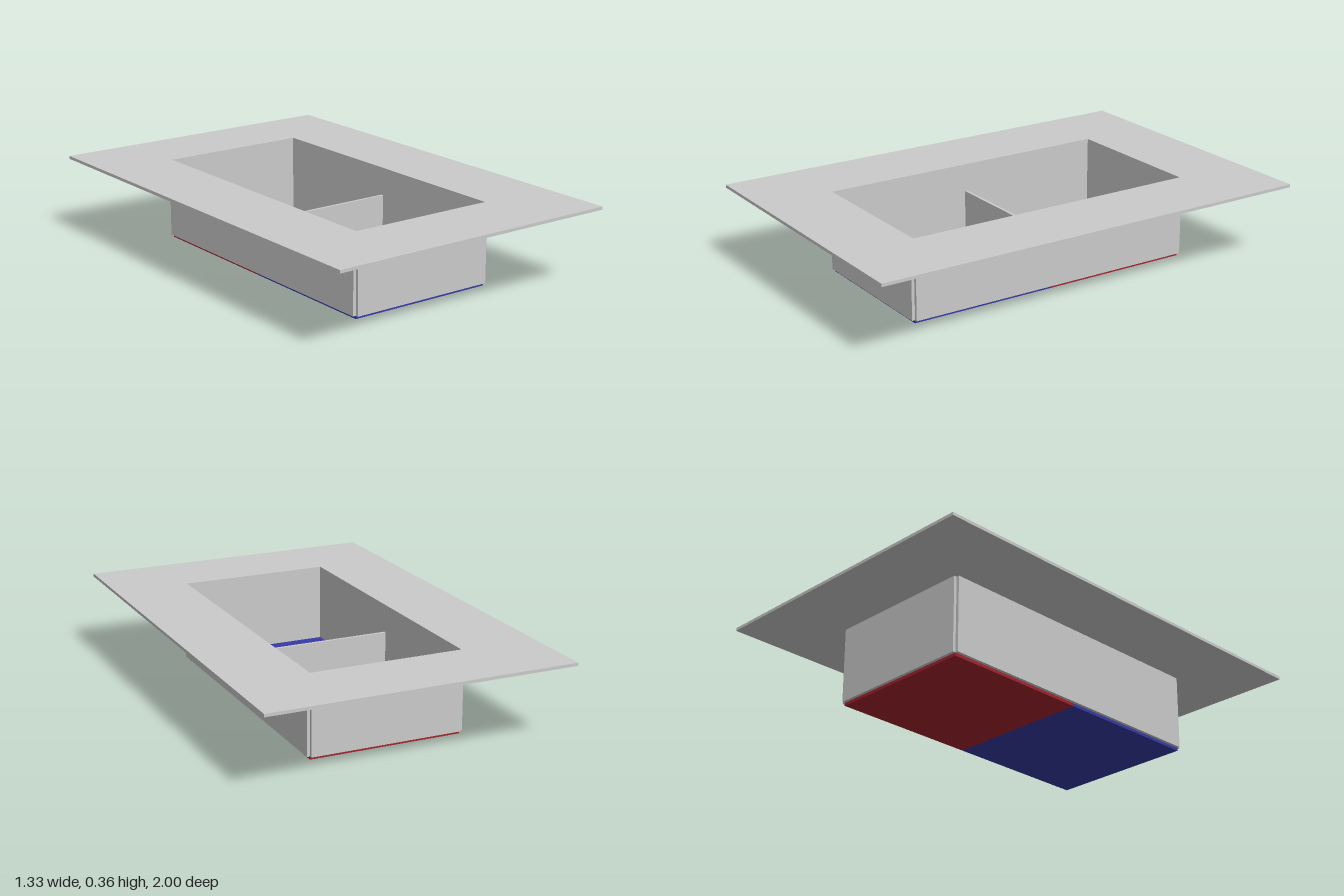
import * as THREE from 'three';

const T = 0.0133;           // sheet thickness
const HX = 0.333, HZ = 0.667; // half size of the opening
const WALL_H = 0.3333;
const RIM_Y = T + WALL_H;

export function createModel() {
  const model = new THREE.Group();
  model.name = 'recessedTray';

  const material = (name, color) => {
    const m = new THREE.MeshStandardMaterial({ color });
    m.name = name;
    return m;
  };
  const grey = material('light grey', 0xcacaca);
  const red = material('red', 0xa4232e);
  const blue = material('blue', 0x363aa4);

  const box = (name, mat, size, pos) => {
    const mesh = new THREE.Mesh(new THREE.BoxGeometry(...size), mat);
    mesh.name = name;
    mesh.position.set(...pos);
    model.add(mesh);
  };

  // Two-tone floor
  box('frontFloor', blue, [2 * HX, T, HZ], [0, T / 2, HZ / 2]);
  box('backFloor', red, [2 * HX, T, HZ], [0, T / 2, -HZ / 2]);

  // Walls just outside the opening, leaving small corner notches
  for (const [side, end, s] of [['left', 'front', 1], ['right', 'back', -1]]) {
    box(side + 'Wall', grey, [T, WALL_H, 2 * HZ], [s * (HX + T / 2), T + WALL_H / 2, 0]);
    box(end + 'Wall', grey, [2 * HX, WALL_H, T], [0, T + WALL_H / 2, s * (HZ + T / 2)]);
  }

  // Low divider across the middle
  const dividerH = 0.222;
  box('divider', grey, [2 * HX, dividerH, T], [0, T + dividerH / 2, 0]);

  // Flat rim with a rectangular opening
  const corners = (x, z) => [[-x, -z], [x, -z], [x, z], [-x, z]].map(p => new THREE.Vector2(...p));
  const shape = new THREE.Shape(corners(0.667, 1));
  shape.holes.push(new THREE.Path(corners(HX, HZ)));
  const rimGeometry = new THREE.ExtrudeGeometry(shape, { depth: T, bevelEnabled: false });
  rimGeometry.rotateX(-Math.PI / 2);
  const rim = new THREE.Mesh(rimGeometry, grey);
  rim.name = 'rim';
  rim.position.y = RIM_Y;
  model.add(rim);

  return model;
}
